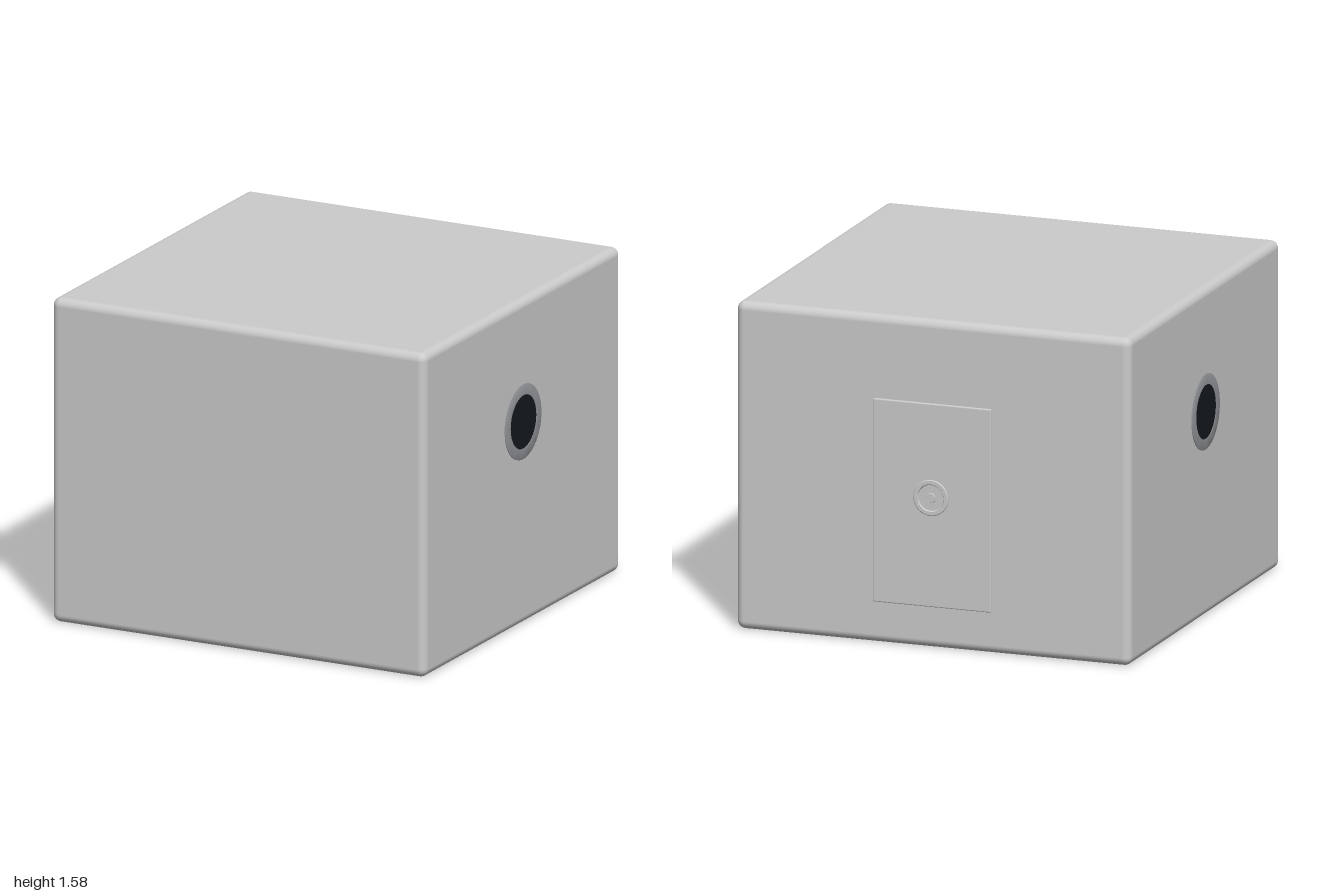
import * as THREE from 'three';
import { RoundedBoxGeometry } from 'three/addons/geometries/RoundedBoxGeometry.js';
import { toCreasedNormals } from 'three/addons/utils/BufferGeometryUtils.js';

export function createModel() {
  const model = new THREE.Group();
  const grey = new THREE.MeshStandardMaterial({ color: 0xcccccc });
  const rimGrey = new THREE.MeshStandardMaterial({ color: 0x94979b });
  const dark = new THREE.MeshStandardMaterial({ color: 0x14191c });

  const add = (parent, name, geometry, material, x = 0, y = 0, z = 0) => {
    const mesh = new THREE.Mesh(geometry, material);
    mesh.name = name;
    mesh.position.set(x, y, z);
    parent.add(mesh);
    return mesh;
  };
  // Turned part whose axis is y; profile points are [radius, height], bottom to top
  const turned = (profile) => toCreasedNormals(
    new THREE.LatheGeometry(profile.map(([r, h]) => new THREE.Vector2(r, h)), 48), 0.5);

  // Body with softly rounded edges
  add(model, 'body', new RoundedBoxGeometry(1.968, 1.58, 1.972, 4, 0.04), grey, 0, 0.79, 0.014);

  // A round window on each side, nearly flush with the wall
  for (const side of [1, -1]) {
    const porthole = new THREE.Group();
    porthole.name = side > 0 ? 'leftWindow' : 'rightWindow';
    porthole.position.set(side * 0.984, 0.99, 0.015);
    porthole.rotation.z = -side * Math.PI / 2;
    add(porthole, 'windowRim', turned([[0.182, -0.01], [0.182, 0.003], [0.178, 0.005], [0.13, 0.005], [0.13, -0.01]]), rimGrey);
    add(porthole, 'windowPane', new THREE.CylinderGeometry(0.132, 0.132, 0.014, 48), dark, 0, -0.004, 0);
    model.add(porthole);
  }

  // Door panel on the back
  add(model, 'door', new RoundedBoxGeometry(0.59, 0.98, 0.03, 2, 0.006), grey, 0, 0.69, -0.968);

  // Door wheel: stem, dished disc, raised rim and hub
  const wheel = new THREE.Group();
  wheel.name = 'doorWheel';
  wheel.position.set(0, 0.73, -0.982);
  wheel.rotation.x = -Math.PI / 2;
  add(wheel, 'wheelDisc', turned([
    [0, 0], [0.022, 0], [0.022, 0.008], [0.083, 0.008], [0.087, 0.011], [0.087, 0.015],
    [0.083, 0.018], [0.066, 0.018], [0.062, 0.012], [0.024, 0.012], [0.022, 0.018], [0, 0.018],
  ]), grey);
  model.add(wheel);

  return model;
}
